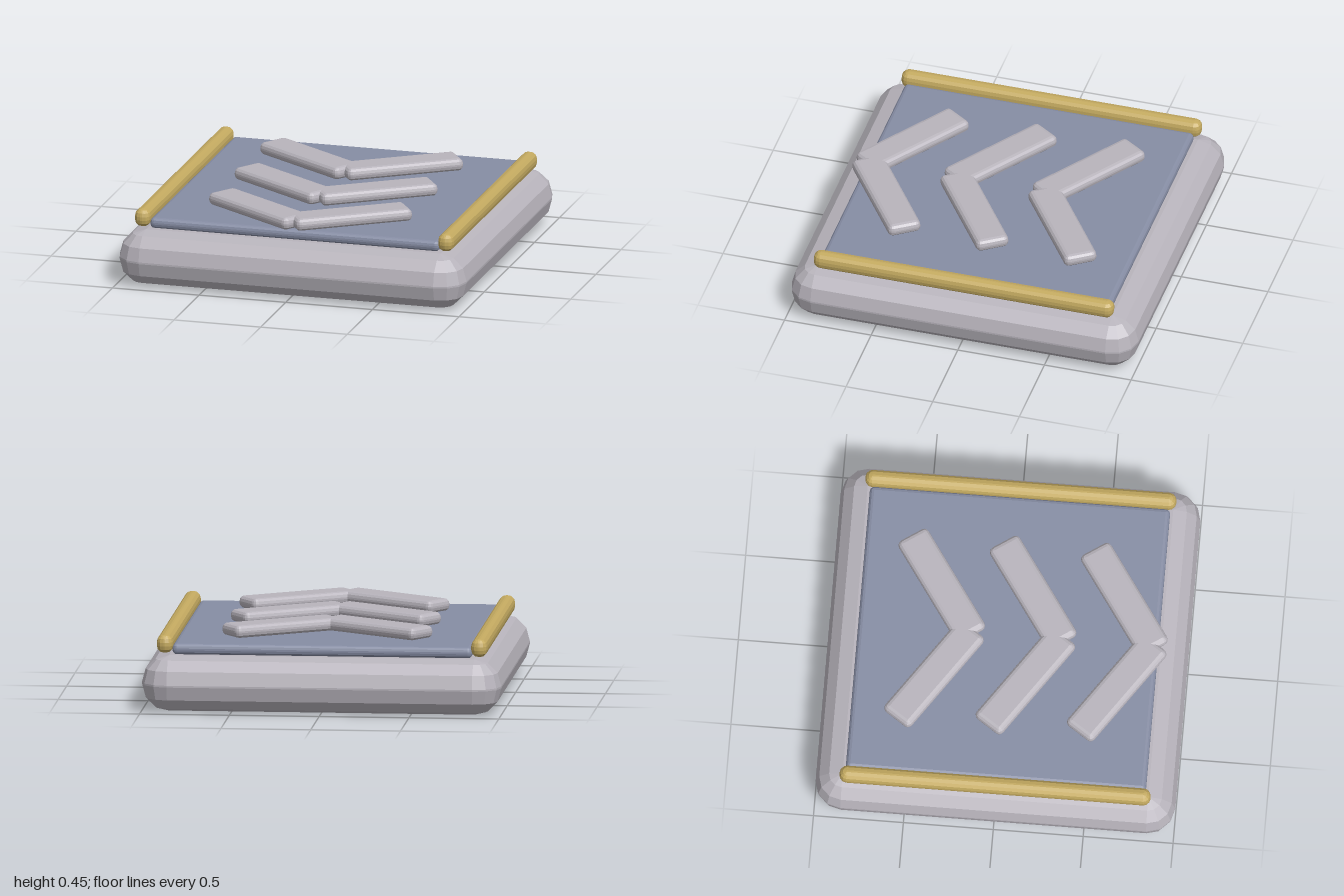
import * as THREE from 'three';

const stone = new THREE.MeshStandardMaterial({ name: 'paleStone', color: 0xb8b4bc });
const slate = new THREE.MeshStandardMaterial({ name: 'slateBlue', color: 0x868da4 });
const gold = new THREE.MeshStandardMaterial({ name: 'gold', color: 0xc4aa60 });

// Box with rounded edges and faceted corners, made of stacked rounded-square rings
function bevelBox(w, h, d, r, steps = 3) {
  const rings = [];
  const quarter = Math.PI / 2;
  for (const half of [0, 1]) {
    for (let i = 0; i <= steps; i++) {
      const polar = (half + i / steps) * quarter;
      const y = (half ? -1 : 1) * (h / 2 - r) + r * Math.cos(polar);
      const ring = [];
      for (let corner = 0; corner < 4; corner++) {
        const sx = corner === 0 || corner === 3 ? 1 : -1;
        const sz = corner < 2 ? 1 : -1;
        for (let j = 0; j <= steps; j++) {
          const a = (corner + j / steps) * quarter;
          ring.push([
            sx * (w / 2 - r) + r * Math.sin(polar) * Math.cos(a),
            y,
            sz * (d / 2 - r) + r * Math.sin(polar) * Math.sin(a),
          ]);
        }
      }
      rings.push(ring);
    }
  }
  const out = [];
  const n = rings[0].length;
  const last = rings.length - 1;
  for (let k = 0; k < n; k++) {
    const m = (k + 1) % n;
    out.push([0, h / 2, 0], rings[0][m], rings[0][k]);
    out.push([0, -h / 2, 0], rings[last][k], rings[last][m]);
    for (let i = 0; i < last; i++) {
      const a = rings[i][k], b = rings[i][m], c = rings[i + 1][m], e = rings[i + 1][k];
      out.push(a, b, c, a, c, e);
    }
  }
  const geo = new THREE.BufferGeometry();
  geo.setAttribute('position', new THREE.Float32BufferAttribute(out.flat(), 3));
  geo.computeVertexNormals(); // unshared corners give flat facets
  return geo;
}

function addPart(parent, name, geo, material, x, y, z) {
  const mesh = new THREE.Mesh(geo, material);
  mesh.name = name;
  mesh.position.set(x, y, z);
  parent.add(mesh);
  return mesh;
}

export function createModel() {
  const model = new THREE.Group();
  model.name = 'arrowPad';

  // Thick base slab and inset panel
  addPart(model, 'base', bevelBox(2, 0.31, 2, 0.15), stone, 0, 0.155, 0);
  addPart(model, 'panel', bevelBox(1.67, 0.06, 1.67, 0.025), slate, 0, 0.34, 0);

  // Side rails
  const railGeo = bevelBox(0.09, 0.1, 1.73, 0.04);
  for (const side of [-1, 1]) {
    addPart(model, side > 0 ? 'leftRail' : 'rightRail', railGeo, gold, side * 0.875, 0.37, 0);
  }

  // Three chevrons pointing to the front, each of two crossed bars
  const barGeo = bevelBox(0.68, 0.07, 0.19, 0.03);
  for (let i = 0; i < 3; i++) {
    const chevron = new THREE.Group();
    chevron.name = 'chevron' + (i + 1);
    chevron.position.set(0, 0.412, -0.39 + i * 0.508);
    for (const side of [-1, 1]) {
      const name = side > 0 ? 'leftBar' : 'rightBar';
      addPart(chevron, name, barGeo, stone, side * 0.262, 0, 0).rotation.y = side * 0.6;
    }
    model.add(chevron);
  }
  return model;
}
